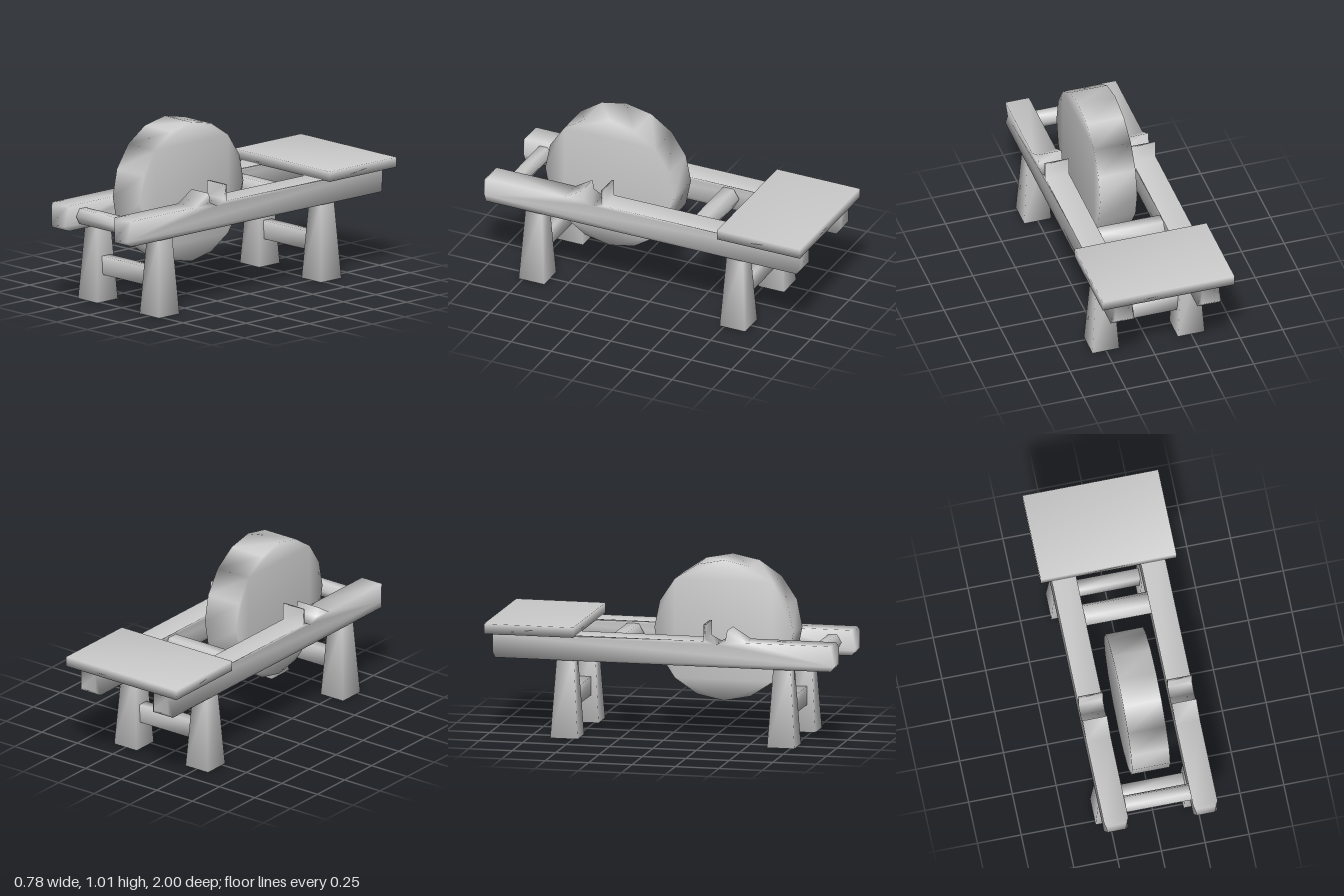
import * as THREE from 'three';
import { mergeVertices } from 'three/addons/utils/BufferGeometryUtils.js';

const material = new THREE.MeshStandardMaterial({ color: 0xcccccc });

// Welds all corners so that the low-poly shapes shade softly
function soften(geometry) {
  geometry.deleteAttribute('uv');
  geometry.deleteAttribute('normal');
  const welded = mergeVertices(geometry, 1e-4);
  welded.computeVertexNormals();
  return welded;
}

// Extrudes a [z, y] outline across x, centred on x = 0
function extrudeAcross(points, width) {
  const shape = new THREE.Shape(points.map(([z, y]) => new THREE.Vector2(z, y)));
  return new THREE.ExtrudeGeometry(shape, { depth: width, bevelEnabled: false })
    .translate(0, 0, -width / 2)
    .rotateY(-Math.PI / 2);
}

// Side beam with a ramp, a bearing notch and an upright lip on top
function railGeometry() {
  const geometry = extrudeAcross([
    [-0.95, 0.445], [0.98, 0.445], [1, 0.47], [1, 0.57], [0.98, 0.59],
    [0.49, 0.59], [0.385, 0.655], [0.375, 0.6], [0.32, 0.572], [0.265, 0.6],
    [0.265, 0.685], [0.25, 0.685], [0.25, 0.59],
    [-0.95, 0.59], [-0.97, 0.57], [-0.97, 0.47],
  ], 0.14);
  // Narrow both end faces to finish the chamfer
  const p = geometry.attributes.position;
  for (let i = 0; i < p.count; i++) {
    if (p.getZ(i) > 0.99 || p.getZ(i) < -0.96) p.setX(i, p.getX(i) * 0.72);
  }
  return geometry;
}

// Square leg, wider at the foot
function legGeometry() {
  const height = 0.46;
  const geometry = new THREE.BoxGeometry(1, height, 1).translate(0, height / 2, 0);
  const p = geometry.attributes.position;
  for (let i = 0; i < p.count; i++) {
    const top = p.getY(i) > 0.1;
    p.setX(i, p.getX(i) * (top ? 0.098 : 0.158));
    p.setZ(i, p.getZ(i) * (top ? 0.098 : 0.158));
  }
  return geometry;
}

export function createModel() {
  const group = new THREE.Group();
  const add = (name, geometry, x, y, z) => {
    const mesh = new THREE.Mesh(soften(geometry), material);
    mesh.name = name;
    mesh.position.set(x, y, z);
    group.add(mesh);
  };

  // Grinding wheel
  const rim = Array.from({ length: 16 }, (_, i) => {
    const a = (i / 16) * Math.PI * 2;
    return [0.4 * Math.cos(a), 0.4 * Math.sin(a)];
  });
  add('grindingWheel', extrudeAcross(rim, 0.218), 0, 0.615, 0.315);

  // Rails and legs, mirrored
  for (const [side, s] of [['left', 1], ['right', -1]]) {
    add(`${side}Rail`, railGeometry(), s * 0.255, 0, 0);
    add(`${side}FrontLeg`, legGeometry(), s * 0.251, 0, 0.695);
    add(`${side}BackLeg`, legGeometry(), s * 0.251, 0, -0.553);
  }

  // Hexagonal bars between the rails
  const bar = (radius) => new THREE.CylinderGeometry(radius, radius, 0.38, 6).rotateZ(Math.PI / 2);
  add('frontRailBar', bar(0.05), 0, 0.517, 0.87);
  add('backRailBar', bar(0.066), 0, 0.517, -0.28);

  // Stretchers between the legs
  for (const [name, z] of [['frontStretcher', 0.69], ['backStretcher', -0.553]]) {
    add(name, new THREE.BoxGeometry(0.4, 0.105, 0.065), 0, 0.207, z);
  }

  // Seat board
  add('seat', new THREE.BoxGeometry(0.776, 0.058, 0.514), 0, 0.617, -0.743);

  return group;
}
